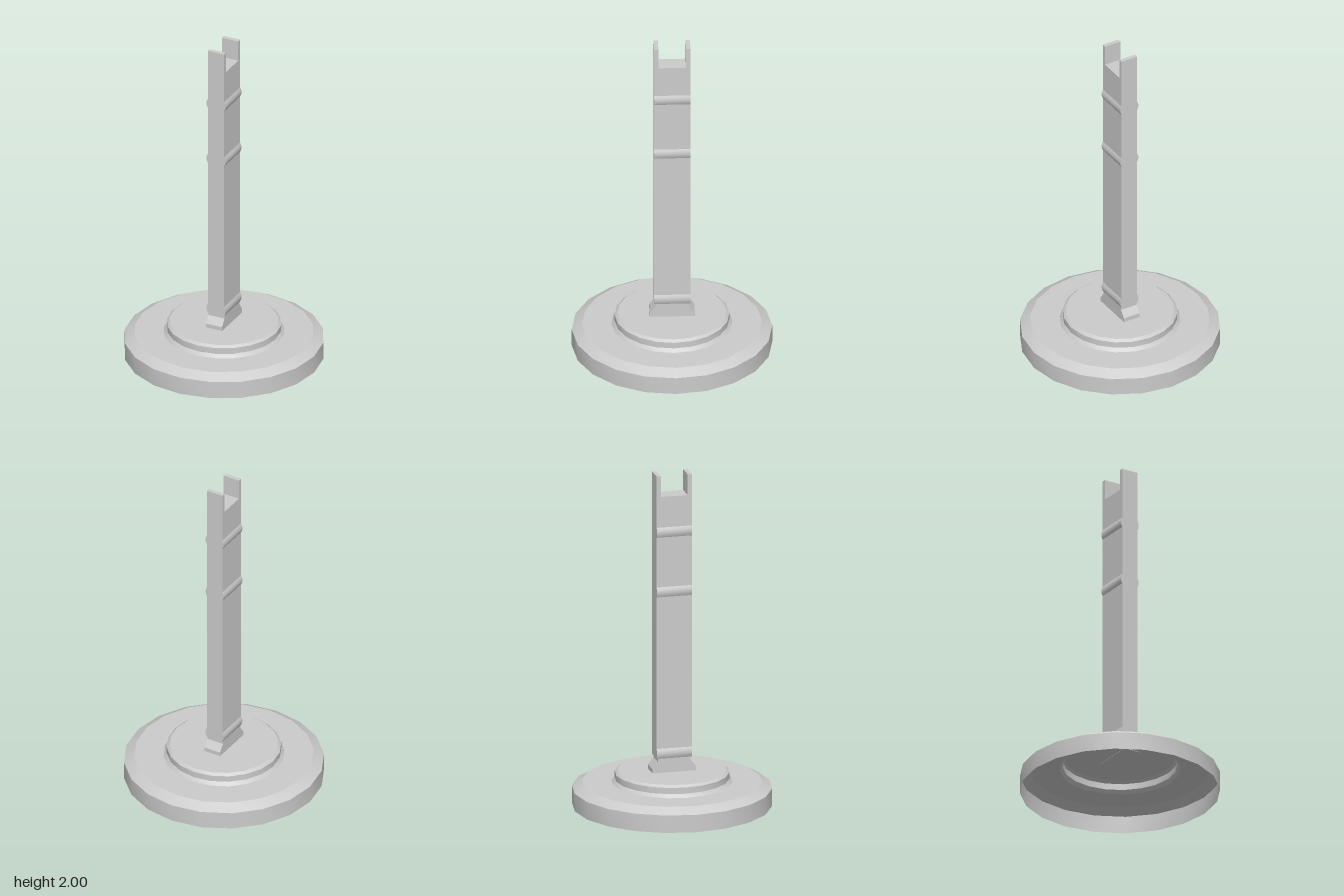
import * as THREE from 'three';
import { toCreasedNormals } from 'three/addons/utils/BufferGeometryUtils.js';

const grey = new THREE.MeshStandardMaterial({ color: 0xcccccc });
const greyShell = new THREE.MeshStandardMaterial({ color: 0xcccccc, side: THREE.DoubleSide });

const HALF_X = 0.052, HALF_Z = 0.105;

function addMesh(group, name, geometry, material = grey) {
  const mesh = new THREE.Mesh(geometry, material);
  mesh.name = name;
  group.add(mesh);
  return mesh;
}

// Extrude an outline that is symmetric about its vertical axis, centred in depth.
// rightSide lists [half width, height] from bottom to top.
function mirroredExtrude(rightSide, depth) {
  const leftSide = rightSide.map(([w, y]) => [-w, y]).reverse();
  const shape = new THREE.Shape([...rightSide, ...leftSide].map(([x, y]) => new THREE.Vector2(x, y)));
  const geometry = new THREE.ExtrudeGeometry(shape, { depth, bevelEnabled: false });
  return geometry.translate(0, 0, -depth / 2);
}

export function createModel() {
  const model = new THREE.Group();
  model.name = 'postOnRoundBase';

  // Hollow stepped base, open underneath
  const profile = [
    [0.58, 0], [0.58, 0.105], [0.52, 0.14], [0.35, 0.14],
    [0.332, 0.16], [0.332, 0.197], [0.315, 0.21], [0, 0.21],
  ].map(([r, y]) => new THREE.Vector2(r, y));
  addMesh(model, 'base', toCreasedNormals(new THREE.LatheGeometry(profile, 20), 0.4), greyShell);

  // Foot flaring to the front and back
  const foot = mirroredExtrude(
    [[0.13, 0.208], [0.13, 0.235], [0.098, 0.277], [0.098, 0.3]], HALF_X * 2);
  addMesh(model, 'foot', foot.rotateY(Math.PI / 2));

  // Column with rounded ribs bulging from its two sides
  const side = [[HALF_X, 0.295]];
  for (const y of [0.325, 1.3, 1.66]) {
    for (const [bulge, dy] of [[0, -0.03], [0.007, -0.015], [0.009, 0], [0.007, 0.015], [0, 0.03]]) {
      if (y + dy > side[side.length - 1][1] + 0.001) side.push([HALF_X + bulge, y + dy]);
    }
  }
  side.push([HALF_X, 1.875]);
  addMesh(model, 'column', toCreasedNormals(mirroredExtrude(side, HALF_Z * 2), 0.4));

  // Two prongs forming the slot at the top
  const thickness = 0.025;
  for (const [name, sign] of [['frontProng', 1], ['backProng', -1]]) {
    const prong = addMesh(model, name, new THREE.BoxGeometry(HALF_X * 2, 0.125, thickness));
    prong.position.set(0, 1.9375, sign * (HALF_Z - thickness / 2));
  }

  return model;
}
